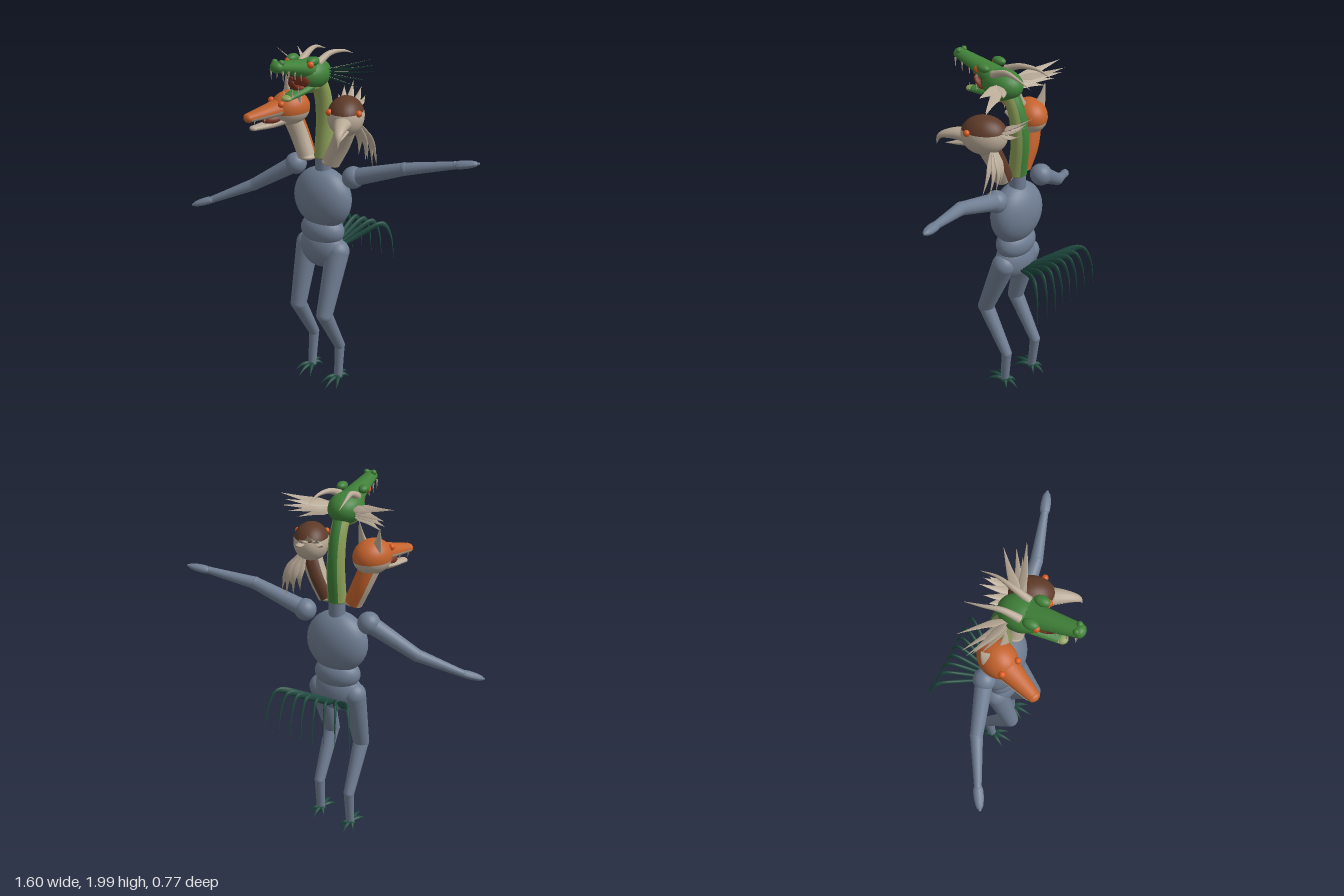
import * as THREE from 'three';

const V = (p) => new THREE.Vector3(...p);
const PI = Math.PI;

function paint(name, color) {
  const m = new THREE.MeshStandardMaterial({ color, side: THREE.DoubleSide });
  m.name = name;
  return m;
}

// Tapered elliptical sweep through points; arc = [start, span], angle PI/2 points along "up".
function sweepGeo(points, radius, { up = [0, 1, 0], flat = 1, arc = [0, 2 * PI], rings = 14, sides = 14 } = {}) {
  const curve = new THREE.CatmullRomCurve3(points.map(V));
  const pos = [], idx = [], U = V(up);
  for (let i = 0; i <= rings; i++) {
    const t = i / rings, c = curve.getPoint(t), T = curve.getTangent(t);
    const side = T.clone().cross(U).normalize(), n = side.clone().cross(T), r = radius(t);
    for (let j = 0; j <= sides; j++) {
      const a = arc[0] + arc[1] * j / sides;
      const p = c.clone().addScaledVector(side, r * Math.cos(a)).addScaledVector(n, r * flat * Math.sin(a));
      pos.push(p.x, p.y, p.z);
      if (i < rings && j < sides) {
        const k = i * (sides + 1) + j, m = k + sides + 1;
        idx.push(k, m, k + 1, k + 1, m, m + 1);
      }
    }
  }
  const g = new THREE.BufferGeometry();
  g.setAttribute('position', new THREE.Float32BufferAttribute(pos, 3));
  g.setIndex(idx);
  g.computeVertexNormals();
  return g;
}

const taper = (a, b) => (t) => a + (b - a) * t;
const leaf = (w) => (t) => w * Math.max(0.01, Math.min(1, 0.45 + 2 * t) * Math.min(1, 1.5 * (1 - t)));

function add(parent, name, geo, mat) {
  const m = new THREE.Mesh(geo, mat);
  m.name = name;
  parent.add(m);
  return m;
}
function ball(parent, name, mat, p, r, theta = [0, PI]) {
  const m = add(parent, name, new THREE.SphereGeometry(1, 28, 18, 0, 2 * PI, theta[0], theta[1]), mat);
  m.position.set(...p);
  m.scale.set(...(Array.isArray(r) ? r : [r, r, r]));
  return m;
}
function sweep(parent, name, mat, pts, radius, opt) {
  return add(parent, name, sweepGeo(pts, radius, opt), mat);
}
function limb(parent, name, mat, a, b, ra, rb) {
  const A = V(a), d = V(b).sub(A);
  const m = add(parent, name, new THREE.CylinderGeometry(rb, ra, d.length(), 24), mat);
  m.position.copy(A).addScaledVector(d, 0.5);
  m.quaternion.setFromUnitVectors(V([0, 1, 0]), d.normalize());
}
function spike(parent, name, mat, a, b, r) {
  sweep(parent, name, mat, [a, b], taper(r, 0.0005), { rings: 2, sides: 8, up: [0.3, 0.5, 0.8] });
}

export function createModel() {
  const model = new THREE.Group();
  const slate = paint('slate body', 0x6f7d92), teal = paint('dark teal', 0x1f4a40);
  const green = paint('scale green', 0x3f8038), olive = paint('olive belly', 0x8c9f58);
  const orange = paint('orange fur', 0xc4622c), cream = paint('cream', 0xb9aa97);
  const brown = paint('brown cap', 0x5e3a28), red = paint('mouth red', 0x74301f);
  const eye = paint('eye orange', 0xd85a1e);
  const X = -0.05;
  const group = (name, p = [0, 0, 0], yaw = 0) => {
    const g = new THREE.Group();
    g.name = name;
    g.position.set(...p);
    g.rotation.y = yaw;
    model.add(g);
    return g;
  };

  // Torso
  const torso = group('torso');
  ball(torso, 'chest', slate, [X, 1.16, -0.025], [0.175, 0.175, 0.112]);
  ball(torso, 'waist', slate, [X, 0.97, -0.022], [0.132, 0.09, 0.092]);
  ball(torso, 'pelvis', slate, [X, 0.865, -0.02], [0.142, 0.12, 0.09]);
  limb(torso, 'neckBase', slate, [X, 1.29, -0.03], [X, 1.405, -0.03], 0.046, 0.044);

  // Arms: shoulder, elbow, wrist, fingertip
  const arms = {
    rightArm: [[-0.24, 1.31, -0.04], [-0.485, 1.15, 0.03], [-0.7, 1.045, 0.14], [-0.8, 1.008, 0.2]],
    leftArm: [[0.135, 1.31, -0.04], [0.43, 1.415, -0.065], [0.675, 1.467, -0.135], [0.785, 1.488, -0.17]],
  };
  for (const [name, [s, e, w, h]] of Object.entries(arms)) {
    const g = group(name);
    ball(g, 'shoulder', slate, s, 0.06);
    limb(g, 'upperArm', slate, s, e, 0.048, 0.034);
    ball(g, 'elbow', slate, e, 0.035);
    limb(g, 'forearm', slate, e, w, 0.034, 0.02);
    ball(g, 'wrist', slate, w, 0.021);
    sweep(g, 'hand', slate, [w, h], (t) => 0.006 + 0.021 * Math.sqrt(Math.sin(PI * Math.min(1, t * 0.92 + 0.08))), { flat: 0.8 });
    ball(g, 'fingertip', slate, h, 0.008);
  }

  // Digitigrade legs with clawed feet
  const legs = {
    rightLeg: [[-0.152, 0.86, -0.025], [-0.157, 0.51, 0.065], [-0.157, 0.245, -0.085], [-0.157, 0.035, -0.065]],
    leftLeg: [[0.052, 0.86, -0.02], [0.055, 0.52, 0.112], [0.055, 0.245, -0.042], [0.055, 0.045, -0.03]],
  };
  for (const [name, [h, k, a, f]] of Object.entries(legs)) {
    const g = group(name);
    ball(g, 'hip', slate, h, 0.066);
    limb(g, 'thigh', slate, h, k, 0.066, 0.046);
    ball(g, 'knee', slate, k, 0.046);
    limb(g, 'shin', slate, k, a, 0.045, 0.031);
    ball(g, 'hock', slate, a, 0.031);
    limb(g, 'metatarsus', slate, a, f, 0.03, 0.024);
    ball(g, 'foot', teal, [f[0], f[1] - 0.005, f[2]], [0.03, 0.018, 0.03]);
    for (const [dx, dz] of [[-0.055, 0.1], [0, 0.14], [0.055, 0.1], [0, -0.095], [-0.045, -0.05], [0.045, -0.05]])
      sweep(g, 'claw', teal, [f, [f[0] + dx * 0.6, f[1] + 0.002, f[2] + dz * 0.55], [f[0] + dx, f[1] - 0.024, f[2] + dz]],
        leaf(0.013), { rings: 8, sides: 8 });
  }

  // Drooping tail feathers
  const tail = group('tail');
  for (const s of [-1, 1]) for (const d of [0.035, 0.1, 0.17, 0.254]) {
    const x = s * d;
    sweep(tail, 'tailFeather', teal, [[X + x * 0.15, 0.82, -0.09], [X + x * 0.45, 0.885, -0.2],
      [X + x * 0.82, 0.943, -0.315], [X + x * 0.93, 0.875, -0.357], [X + x, 0.7, -0.38]],
      leaf(0.02), { up: [1, 0, 0], flat: 0.55, rings: 24, sides: 10 });
  }

  // Necks: front colour with a stripe along the back
  function neck(name, pts, r0, r1, front, back, yaw, half) {
    const g = group(name), up = [-Math.sin(yaw), 0, -Math.cos(yaw)];
    sweep(g, 'neckFront', front, pts, taper(r0, r1), { up, arc: [PI / 2 + half, 2 * PI - 2 * half] });
    sweep(g, 'neckBack', back, pts, taper(r0, r1), { up, arc: [PI / 2 - half, 2 * half] });
    ball(g, 'neckFoot', front, pts[0], [r0, 0.02, r0]);
  }
  const foxYaw = -0.38, birdYaw = 0.43;
  neck('dragonNeck', [[X, 1.4, -0.03], [X, 1.6, -0.045], [X, 1.75, -0.02], [X, 1.86, 0.04]], 0.05, 0.042, olive, green, 0, 0.6);
  neck('foxNeck', [[-0.13, 1.39, 0.005], [-0.18, 1.5, 0], [-0.225, 1.62, 0.02]], 0.05, 0.055, cream, orange, foxYaw, 1.15);
  neck('birdNeck', [[0.025, 1.39, 0.005], [0.08, 1.5, 0], [0.135, 1.62, 0.02]], 0.05, 0.055, cream, brown, birdYaw, 0.7);

  // Dragon head
  const dragon = group('dragonHead', [X, 1.87, 0.07]);
  ball(dragon, 'skull', green, [0, 0, 0], [0.09, 0.08, 0.115]);
  sweep(dragon, 'upperJaw', green, [[0, 0.02, 0.02], [0, 0.052, 0.12], [0, 0.092, 0.285]], taper(0.075, 0.036), { flat: 0.75 });
  ball(dragon, 'snoutTip', green, [0, 0.092, 0.285], [0.036, 0.029, 0.03]);
  sweep(dragon, 'lowerJaw', green, [[0, -0.04, 0], [0, -0.065, 0.1], [0, -0.08, 0.21]], taper(0.065, 0.03), { flat: 0.45 });
  ball(dragon, 'chin', olive, [0, -0.08, 0.21], [0.03, 0.015, 0.03]);
  ball(dragon, 'throat', olive, [0, -0.05, 0.02], [0.06, 0.045, 0.07]);
  sweep(dragon, 'tongue', red, [[0, -0.02, 0.04], [0, -0.05, 0.12], [0, -0.02, 0.17], [0, 0.035, 0.185]], taper(0.035, 0.012), { flat: 0.5, up: [0, 1, 0.2] });
  ball(dragon, 'mouth', red, [0, -0.01, 0.09], [0.05, 0.045, 0.03]);
  for (const s of [-1, 1]) {
    ball(dragon, 'brow', green, [s * 0.062, 0.085, 0.075], [0.026, 0.022, 0.04]);
    ball(dragon, 'eye', eye, [s * 0.068, 0.075, 0.105], 0.018);
    ball(dragon, 'nostril', green, [s * 0.02, 0.113, 0.275], 0.015);
    for (const z of [0.14, 0.19, 0.24, 0.285])
      spike(dragon, 'upperTooth', cream, [s * 0.035, 0.02 + z * 0.2, z], [s * 0.036, z * 0.2 - 0.03, z], 0.007);
    for (const z of [0.15, 0.2])
      spike(dragon, 'lowerTooth', cream, [s * 0.026, -0.075, z], [s * 0.028, -0.035, z], 0.006);
    sweep(dragon, 'horn', cream, [[s * 0.05, 0.06, 0.02], [s * 0.06, 0.095, -0.07], [s * 0.08, 0.093, -0.16], [s * 0.085, 0.065, -0.245]],
      taper(0.021, 0.001), { up: [1, 0, 0] });
    // Frill spikes: pale on the upper back, dark underneath
    for (const [x, y, z] of [[0.24, 0.065, -0.205], [0.315, 0.065, -0.12], [0.285, 0.015, -0.16], [0.27, -0.025, -0.12], [0.235, -0.06, -0.09]]) {
      const pts = [[s * 0.06, y * 0.3, -0.035], [s * x * 0.6, y * 0.55, z * 0.6], [s * x, y, z]];
      for (const [mat, a] of [[cream, 0], [teal, PI]])
        sweep(dragon, 'frillSpike', mat, pts, leaf(0.024), { up: [0, 0.8, -0.5], flat: 0.16, arc: [a, PI], sides: 6 });
    }
  }

  // Fox head
  const fox = group('foxHead', [-0.22, 1.65, 0.03], foxYaw);
  ball(fox, 'crown', orange, [0, 0, 0], [0.092, 0.092, 0.11], [0, 0.56 * PI]);
  ball(fox, 'cheeks', cream, [0, 0, 0], [0.092, 0.092, 0.11], [0.56 * PI, 0.44 * PI]);
  const muzzle = [[0, 0.01, 0.04], [0, -0.003, 0.14], [0, -0.016, 0.25]];
  sweep(fox, 'muzzleTop', orange, muzzle, taper(0.07, 0.033), { flat: 0.8, arc: [0, PI] });
  sweep(fox, 'muzzleSide', cream, muzzle, taper(0.07, 0.033), { flat: 0.6, arc: [PI, PI] });
  ball(fox, 'nose', orange, [0, -0.014, 0.25], [0.033, 0.025, 0.026]);
  ball(fox, 'mouth', red, [0, -0.045, 0.1], [0.04, 0.03, 0.07]);
  sweep(fox, 'lowerJaw', cream, [[0, -0.05, 0.03], [0, -0.068, 0.12], [0, -0.075, 0.22]], taper(0.058, 0.026), { flat: 0.5 });
  ball(fox, 'chin', cream, [0, -0.075, 0.22], [0.026, 0.014, 0.024]);
  for (const s of [-1, 1]) {
    ball(fox, 'eye', eye, [s * 0.05, 0.042, 0.085], 0.017);
    sweep(fox, 'ear', cream, [[s * 0.05, 0.05, -0.015], [s * 0.066, 0.11, -0.02], [s * 0.076, 0.175, -0.025]],
      taper(0.036, 0.001), { up: [0, 0, 1], flat: 0.4 });
    for (const z of [0.17, 0.23])
      spike(fox, 'tooth', cream, [s * 0.025, -0.02, z], [s * 0.025, -0.055, z], 0.006);
  }

  // Bird head
  const bird = group('birdHead', [0.135, 1.67, 0.035], birdYaw);
  ball(bird, 'cap', brown, [0, 0, 0], [0.095, 0.102, 0.122], [0, 0.4 * PI]);
  ball(bird, 'face', cream, [0, 0, 0], [0.095, 0.102, 0.122], [0.4 * PI, 0.6 * PI]);
  sweep(bird, 'upperBeak', cream, [[0, -0.01, 0.08], [0, -0.012, 0.17], [0, -0.035, 0.235], [0, -0.085, 0.255]], taper(0.05, 0.001), { flat: 0.8 });
  sweep(bird, 'lowerBeak', cream, [[0, -0.045, 0.07], [0, -0.06, 0.14], [0, -0.07, 0.205]], taper(0.04, 0.002), { flat: 0.5 });
  for (const s of [-1, 1]) ball(bird, 'eye', eye, [s * 0.075, 0.035, 0.068], 0.017);
  for (const [x, y, z] of [[0, 0.115, -0.245], [-0.045, 0.09, -0.225], [0.045, 0.09, -0.225], [-0.07, 0.05, -0.2], [0.07, 0.05, -0.2]])
    sweep(bird, 'crestFeather', cream, [[x * 0.5, 0.03, -0.08], [x * 0.8, y * 0.55, -0.16], [x, y, z]], leaf(0.022), { flat: 0.3, sides: 10 });

  // Feathers hanging behind the bird's neck
  const mane = group('mane');
  for (const [x, y, z] of [[0.145, 1.43, -0.075], [0.185, 1.4, -0.08], [0.23, 1.385, -0.075], [0.265, 1.405, -0.06], [0.225, 1.43, -0.04]])
    sweep(mane, 'maneFeather', cream, [[0.13 + (x - 0.13) * 0.3, 1.61, -0.04], [0.13 + (x - 0.13) * 0.75, 1.51, z - 0.01], [x, y, z]],
      leaf(0.021), { up: [0, 0, 1], flat: 0.25, sides: 10 });

  return model;
}
